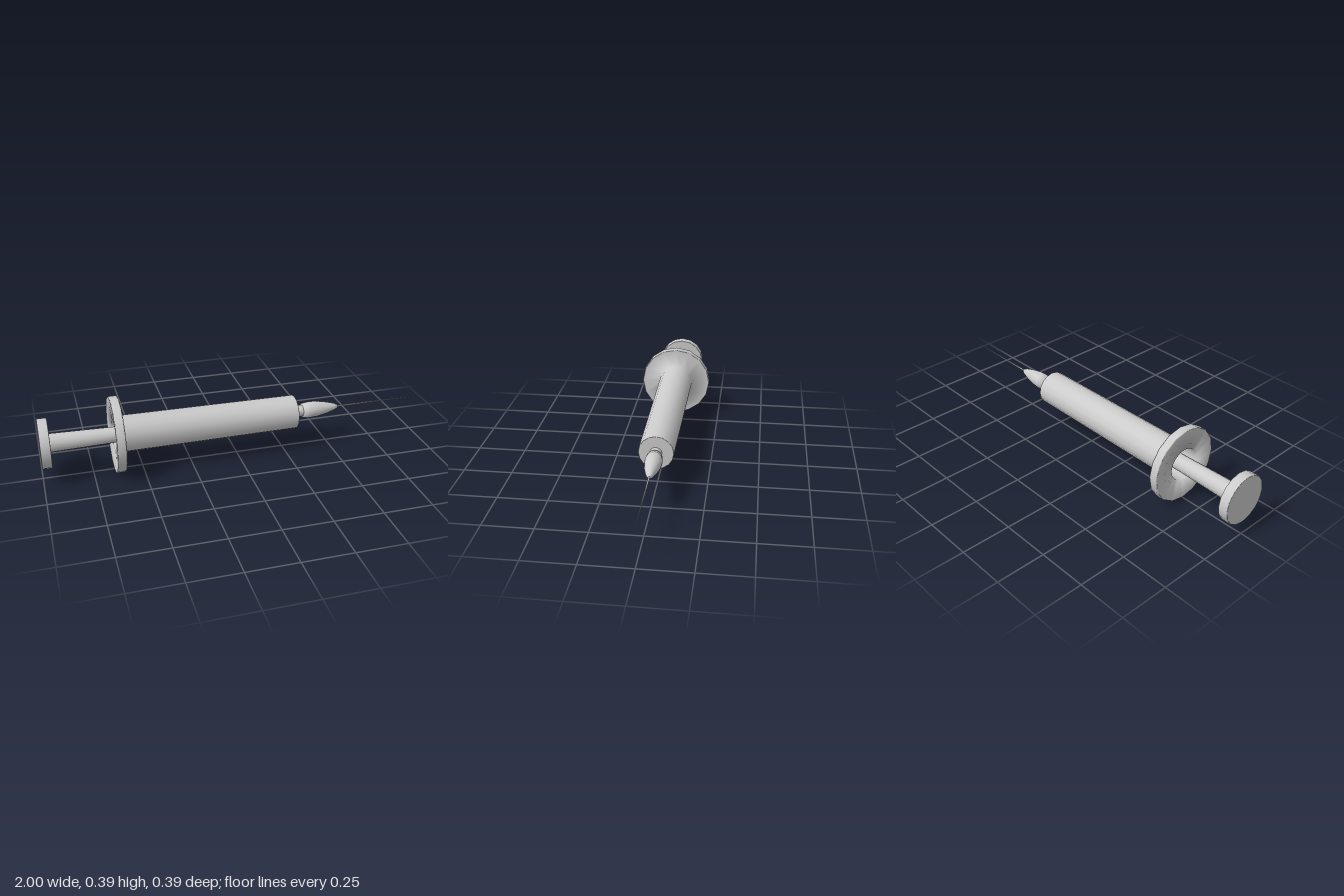
import * as THREE from 'three';

const AXIS_HEIGHT = 0.192;
const material = new THREE.MeshStandardMaterial({ color: 0xcccccc });

// Turned part along the x axis; profile is a list of [x, radius] pairs.
function turned(name, profile, sides = 16) {
  const points = profile.map(([x, r]) => new THREE.Vector2(r, x));
  const geometry = new THREE.LatheGeometry(points, sides);
  geometry.rotateZ(-Math.PI / 2);
  const mesh = new THREE.Mesh(geometry, material);
  mesh.name = name;
  mesh.position.y = AXIS_HEIGHT;
  return mesh;
}

export function createModel() {
  const group = new THREE.Group();
  group.name = 'syringe';

  // Hollow barrel with finger flange: cavity wall, mouth, flange, outer wall, front end
  group.add(turned('barrel', [
    [0.28, 0], [0.28, 0.078], [-0.635, 0.082],
    [-0.645, 0.19], [-0.64, 0.193], [-0.602, 0.193], [-0.598, 0.19],
    [-0.598, 0.093], [0.314, 0.088], [0.316, 0.085], [0.316, 0],
  ]));

  // Thumb rest
  group.add(turned('thumbRest', [
    [-1, 0], [-1, 0.122], [-0.998, 0.125],
    [-0.952, 0.125], [-0.95, 0.122], [-0.95, 0.03],
  ]));

  // Plunger rod running into the barrel, with its stopper
  group.add(turned('plungerRod', [[-0.955, 0.047], [-0.64, 0.04], [0.2, 0.04]]));
  group.add(turned('plungerStopper', [
    [0.16, 0], [0.16, 0.076], [0.22, 0.076], [0.22, 0],
  ]));

  // Nozzle joining barrel and needle hub
  group.add(turned('nozzle', [[0.31, 0.03], [0.37, 0.03]]));

  // Needle hub, swelling and then tapering
  group.add(turned('needleHub', [
    [0.36, 0], [0.36, 0.038], [0.4, 0.043], [0.44, 0.041],
    [0.49, 0.032], [0.54, 0.018], [0.558, 0.009], [0.56, 0],
  ]));

  // Needle, tapering to a point
  group.add(turned('needle', [[0.54, 0.005], [0.72, 0.0035], [1, 0]], 8));

  return group;
}
